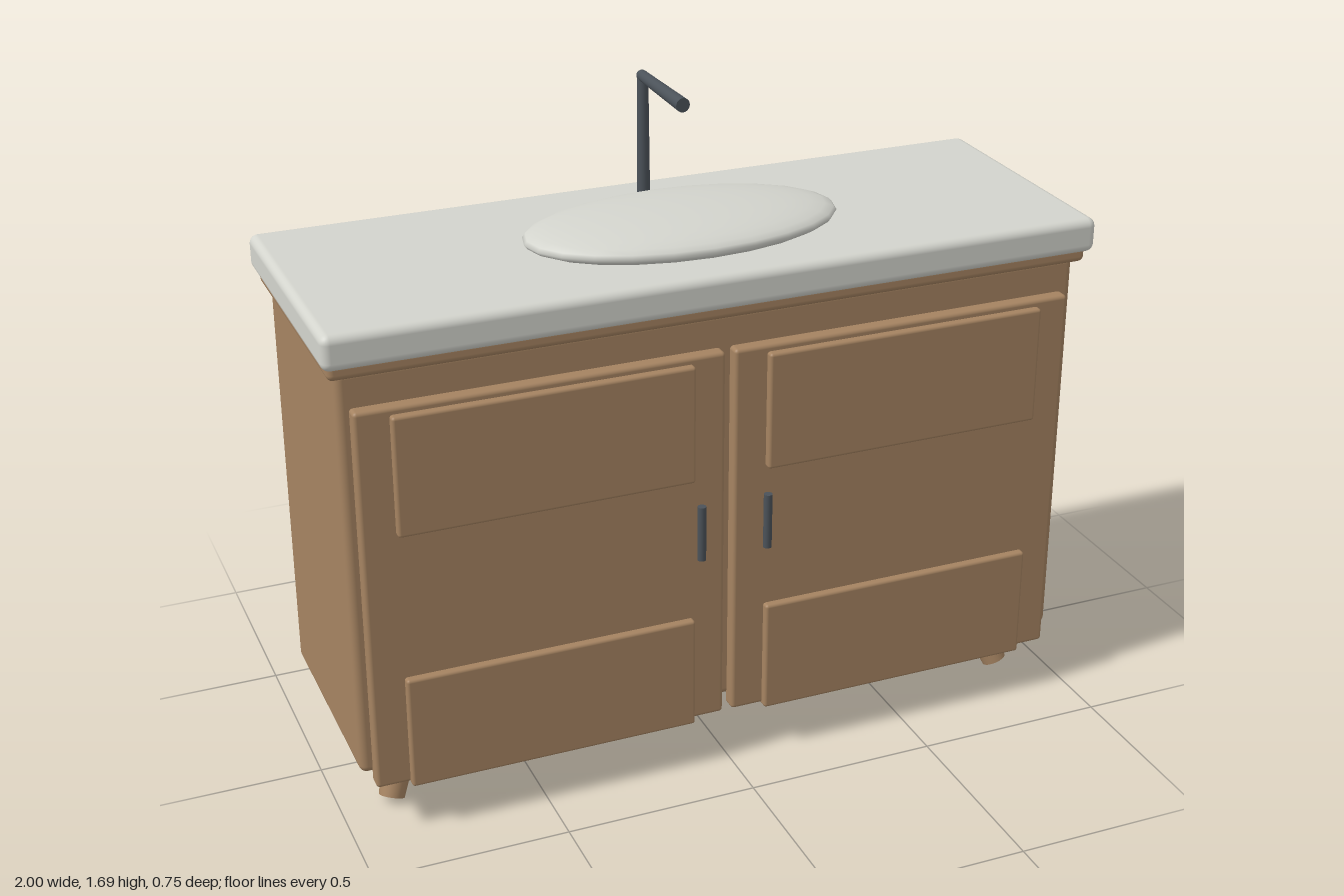
import * as THREE from 'three';
import { RoundedBoxGeometry } from 'three/addons/geometries/RoundedBoxGeometry.js';

export function createModel() {
  const model = new THREE.Group();
  model.name = 'vanityCabinet';

  const material = (name, color) => {
    const m = new THREE.MeshStandardMaterial({ color });
    m.name = name;
    return m;
  };
  const wood = material('wood', 0xa58361);
  const stone = material('paleStone', 0xd3d4cd);
  const metal = material('darkMetal', 0x4b5259);

  const add = (name, geometry, mat, parent = model) => {
    const mesh = new THREE.Mesh(geometry, mat);
    mesh.name = name;
    parent.add(mesh);
    return mesh;
  };

  // Rounded block given by its extents on each axis
  const block = (name, [x0, x1], [y0, y1], [z0, z1], radius, mat, parent) => {
    const geometry = new RoundedBoxGeometry(x1 - x0, y1 - y0, z1 - z0, 3, radius);
    geometry.translate((x0 + x1) / 2, (y0 + y1) / 2, (z0 + z1) / 2);
    return add(name, geometry, mat, parent);
  };

  // Tapered round rod between two points
  const rod = (name, from, to, r0, r1, mat, parent) => {
    const a = new THREE.Vector3(...from);
    const b = new THREE.Vector3(...to);
    const dir = b.clone().sub(a);
    const mesh = add(name, new THREE.CylinderGeometry(r1, r0, dir.length(), 20), mat, parent);
    mesh.position.copy(a).add(b).multiplyScalar(0.5);
    mesh.quaternion.setFromUnitVectors(new THREE.Vector3(0, 1, 0), dir.normalize());
    return mesh;
  };

  // Carcass, moulding and countertop
  block('cabinetBody', [-0.965, 0.965], [0.16, 1.24], [-0.322, 0.297], 0.02, wood);
  block('topMoulding', [-0.985, 0.985], [1.228, 1.272], [-0.347, 0.32], 0.016, wood);
  block('countertop', [-1, 1], [1.26, 1.35], [-0.374, 0.342], 0.022, stone);

  for (const side of [-1, 1]) {
    const label = side > 0 ? 'left' : 'right';
    const span = (a, b) => (side > 0 ? [a, b] : [-b, -a]);

    // Door with two raised panels
    const door = new THREE.Group();
    door.name = label + 'Door';
    model.add(door);
    block('doorSlab', span(0.012, 0.935), [0.133, 1.148], [0.285, 0.33], 0.01, wood, door);
    block('upperPanel', span(0.097, 0.85), [0.82, 1.131], [0.315, 0.35], 0.008, wood, door);
    block('lowerPanel', span(0.097, 0.85), [0.128, 0.432], [0.315, 0.35], 0.008, wood, door);

    // Handle standing just off the door
    rod('handle', [side * 0.089, 0.615, 0.366], [side * 0.089, 0.763, 0.366], 0.011, 0.011, metal, door);

    // Splayed tapered legs
    rod(label + 'FrontLeg', [side * 0.868, 0.015, 0.201], [side * 0.812, 0.178, 0.143], 0.033, 0.048, wood);
    rod(label + 'BackLeg', [side * 0.868, 0.015, -0.229], [side * 0.812, 0.178, -0.171], 0.033, 0.048, wood);
  }

  // Shallow domed oval basin
  const basin = add('basin', new THREE.SphereGeometry(1, 24, 16), stone);
  basin.scale.set(0.412, 0.05, 0.22);
  basin.position.set(0, 1.37, 0.02);

  // Faucet: upright, round elbow and spout
  const faucet = new THREE.Group();
  faucet.name = 'faucet';
  model.add(faucet);
  rod('upright', [0, 1.34, -0.236], [0, 1.676, -0.236], 0.017, 0.014, metal, faucet);
  const elbow = add('elbow', new THREE.SphereGeometry(0.0145, 16, 12), metal, faucet);
  elbow.position.set(0, 1.675, -0.236);
  rod('spout', [0, 1.675, -0.245], [0, 1.675, 0.028], 0.014, 0.018, metal, faucet);

  return model;
}
